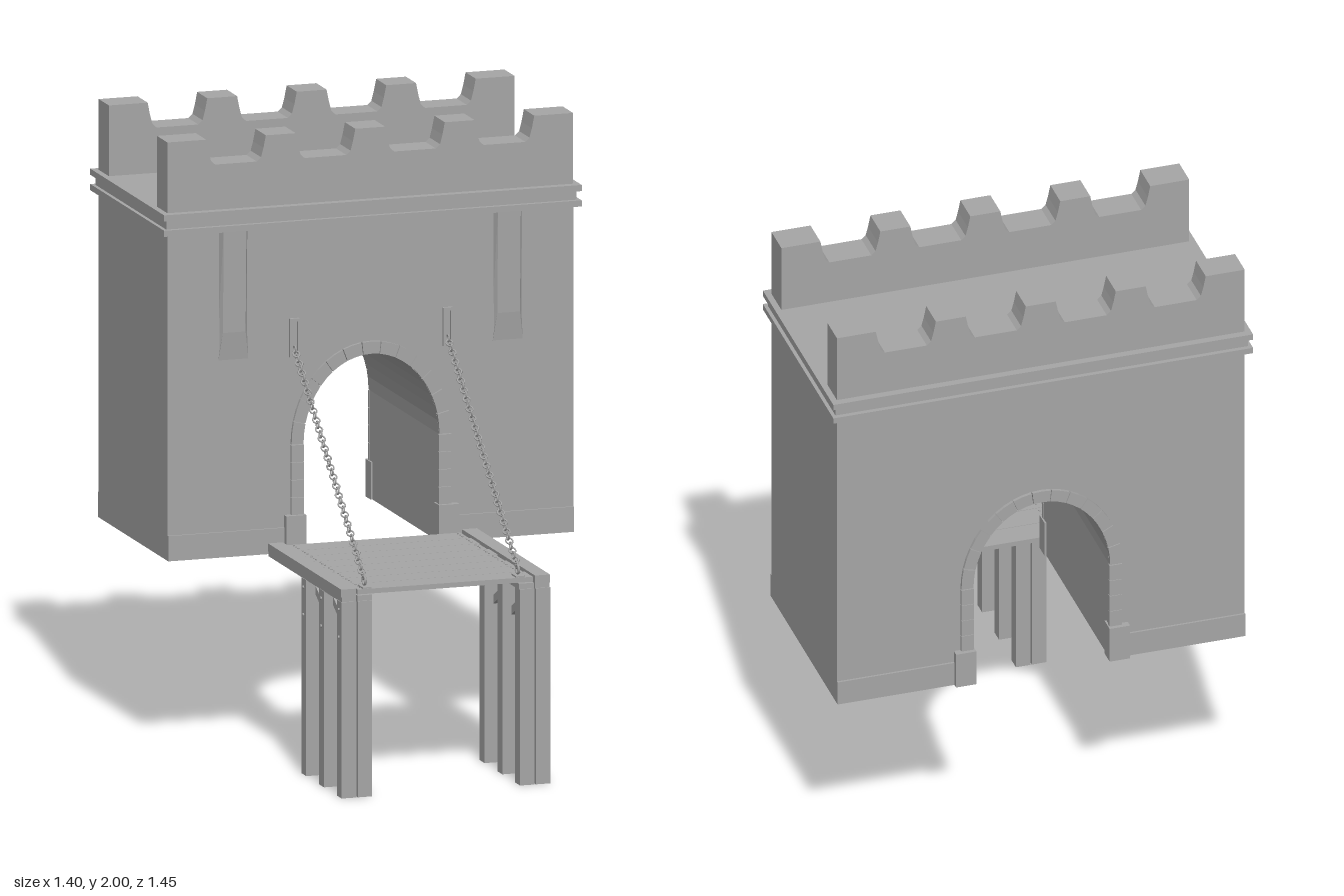
import * as THREE from 'three';

export function createModel() {
  const root = new THREE.Group();
  root.name = 'gatehouse';
  const grey = new THREE.MeshStandardMaterial({ color: 0xa6a6a6 });
  grey.name = 'plain grey';

  const add = (name, geo, parent = root) => {
    const m = new THREE.Mesh(geo, grey);
    m.name = name;
    parent.add(m);
    return m;
  };
  const group = (name) => {
    const g = new THREE.Group();
    g.name = name;
    root.add(g);
    return g;
  };
  // Box given by its limits on each axis
  const box = (name, x0, x1, y0, y1, z0, z1, parent) => {
    const g = new THREE.BoxGeometry(Math.abs(x1 - x0), y1 - y0, z1 - z0);
    g.translate((x0 + x1) / 2, (y0 + y1) / 2, (z0 + z1) / 2);
    return add(name, g, parent);
  };
  // Outline in x, y pulled from z0 to z1
  const slab = (name, points, z0, z1, parent) => {
    const shape = new THREE.Shape(points.map((p) => new THREE.Vector2(p[0], p[1])));
    const g = new THREE.ExtrudeGeometry(shape, { depth: z1 - z0, bevelEnabled: false });
    g.translate(0, 0, z0);
    return add(name, g, parent);
  };

  const FRONT = -0.02, BACK = -0.7, BASE = 0.64, SPRING = 0.99;
  const arch = (a, b, t) => [a * Math.cos(t), SPRING + b * Math.sin(t)];
  const inner = (t) => arch(0.228, 0.278, t);
  const outer = (t) => arch(0.268, 0.318, t);

  // Main block with the arched passage
  const block = [[0.68, BASE], [0.68, 1.7], [-0.68, 1.7], [-0.68, BASE], [-0.228, BASE]];
  for (let i = 0; i <= 20; i++) block.push(inner(Math.PI * (1 - i / 20)));
  block.push([0.228, BASE]);
  slab('gateBlock', block, BACK, FRONT);

  // Cornice bands and roof
  box('lowerCornice', -0.7, 0.7, 1.7, 1.72, -0.725, 0.005);
  box('corniceNeck', -0.688, 0.688, 1.72, 1.75, -0.71, -0.01);
  box('upperCornice', -0.7, 0.7, 1.75, 1.77, -0.725, 0.005);

  // Battlements with sloped notches
  const wall = [[-0.68, 1.77], [0.68, 1.77], [0.68, 2]];
  for (const c of [0.45, 0.15, -0.15, -0.45]) {
    wall.push([c + 0.1, 2], [c + 0.092, 1.96], [c + 0.084, 1.93], [c + 0.07, 1.917],
      [c - 0.07, 1.917], [c - 0.084, 1.93], [c - 0.092, 1.96], [c - 0.1, 2]);
  }
  wall.push([-0.68, 2]);
  slab('frontBattlement', wall, -0.125, -0.022);
  slab('backBattlement', wall, -0.7, -0.6);

  // Plinths and arch stones on both faces
  for (const [side, z0, z1, zBase0, zBase1] of [
    ['front', FRONT - 0.004, -0.009, FRONT - 0.03, 0.003],
    ['back', -0.711, BACK + 0.004, -0.724, BACK + 0.03],
  ]) {
    const g = group(side + 'Stonework');
    for (const s of [-1, 1]) {
      const l = s < 0 ? -0.68 : 0.28, r = s < 0 ? -0.28 : 0.68;
      const zMid = side === 'front' ? -0.013 : -0.707;
      box('plinth', l, r, BASE, 0.722, Math.min(zMid, z1), Math.max(zMid, z0), g);
      box('plinthCourse', l, r, BASE, 0.722, side === 'front' ? FRONT - 0.004 : zMid,
        side === 'front' ? zMid : BACK + 0.004, g);
      box('archFoot', s * 0.222, s * 0.29, BASE, 0.762, zBase0, zBase1, g);
      for (let i = 0; i < 4; i++) {
        const y = 0.762 + i * 0.057;
        box('jambStone', s * 0.226, s * 0.268, y, y + 0.0555, z0, z1, g);
      }
    }
    const n = 13;
    for (let i = 0; i < n; i++) {
      const a = (Math.PI * (i + 0.02)) / n, b = (Math.PI * (i + 0.98)) / n;
      const m = (a + b) / 2;
      slab('archStone', [inner(a), outer(a), outer(m), outer(b), inner(b), inner(m)], z0, z1, g);
    }
  }

  // Bevelled wall ribs that fade into the wall at the foot
  for (const x of [-0.46, 0.46]) {
    let g = new THREE.BoxGeometry(0.1, 1, 0.02, 1, 2, 1);
    const p = g.attributes.position;
    for (let i = 0; i < p.count; i++) {
      const level = Math.round(p.getY(i) * 2) + 1;
      const isFront = p.getZ(i) > 0;
      p.setX(i, x + p.getX(i) * (isFront && level > 0 ? 0.76 : 1));
      p.setY(i, [1.28, 1.37, 1.7][level]);
      p.setZ(i, isFront ? [FRONT + 0.001, -0.01, -0.002][level] : FRONT - 0.005);
    }
    g = g.toNonIndexed();
    g.computeVertexNormals();
    add('wallRib', g);
  }

  // Chain slots, chains and eye bolts
  const link = new THREE.TorusGeometry(0.0115, 0.0027, 6, 12);
  for (const x of [-0.257, 0.257]) {
    const g = group('chainAssembly');
    box('slotSide', x - 0.016, x - 0.01, 1.275, 1.4, -0.025, -0.01, g);
    box('slotSide', x + 0.01, x + 0.016, 1.275, 1.4, -0.025, -0.01, g);
    box('slotTop', x - 0.01, x + 0.01, 1.39, 1.4, -0.025, -0.01, g);
    box('slotBottom', x - 0.01, x + 0.01, 1.275, 1.285, -0.025, -0.01, g);
    const start = new THREE.Vector3(x, 1.3, -0.01), end = new THREE.Vector3(x, 0.705, 0.665);
    const dir = end.clone().sub(start).normalize();
    const side = new THREE.Vector3(1, 0, 0);
    const up = new THREE.Vector3().crossVectors(side, dir);
    const count = 48;
    for (let i = 0; i <= count; i++) {
      const m = add('chainLink', link, g);
      m.position.lerpVectors(start, end, i / count);
      const normal = i % 2 ? up : side;
      m.quaternion.setFromUnitVectors(new THREE.Vector3(0, 0, 1), normal);
    }
    const eye = add('eyeBolt', new THREE.TorusGeometry(0.014, 0.004, 6, 14), g);
    eye.position.set(x, 0.692, 0.675);
    eye.rotation.y = Math.PI / 2;
    box('eyePlate', x - 0.015, x + 0.015, 0.67, 0.676, 0.66, 0.705, g);
  }

  // Plank deck with slightly uneven board ends
  const deck = group('deck');
  const nail = new THREE.CylinderGeometry(0.003, 0.003, 0.004, 6);
  for (let i = 0; i < 8; i++) {
    const z = 0.014 + i * 0.0868, jog = [0, 0.006, 0.002, 0.008][i % 4];
    box('plank', -0.298 + jog, 0.29 + jog, 0.655, 0.671, z, z + 0.0848, deck);
    for (const x of [-0.275, 0.275]) {
      for (const dz of [0.02, 0.043, 0.066]) {
        add('nail', nail, deck).position.set(x, 0.6725, z + dz);
      }
    }
  }

  // Trestles: edge beams, paired posts, cross braces and bolts
  const bolt = new THREE.CylinderGeometry(0.005, 0.005, 0.008, 8);
  bolt.rotateZ(Math.PI / 2);
  const zPosts = [0.7025, 0.528, 0.3525];
  for (const s of [-1, 1]) {
    const g = group('trestle');
    box('edgeBeam', s * 0.3, s * 0.35, 0.652, 0.678, 0, 0.722, g);
    box('outerBearer', s * 0.3, s * 0.348, 0.636, 0.652, 0, 0.722, g);
    box('innerBearer', s * 0.246, s * 0.296, 0.636, 0.655, 0, 0.722, g);
    for (const z of zPosts) {
      box('outerPost', s * 0.301, s * 0.35, 0, 0.637, z - 0.024, z + 0.024, g);
      box('innerPost', s * 0.248, s * 0.296, 0, 0.637, z - 0.024, z + 0.024, g);
      for (const y of [0.52, 0.61]) add('bolt', bolt, g).position.set(s * 0.351, y, z);
    }
    for (let i = 0; i < 2; i++) {
      const dz = zPosts[i] - zPosts[i + 1];
      for (const d of [-1, 1]) {
        const brace = add('crossBrace', new THREE.BoxGeometry(0.02, 0.024, 0.205), g);
        brace.position.set(s * (0.2985 + d * 0.0105), 0.567, (zPosts[i] + zPosts[i + 1]) / 2);
        brace.rotation.x = d * Math.atan2(0.1, dz);
      }
    }
  }
  return root;
}
